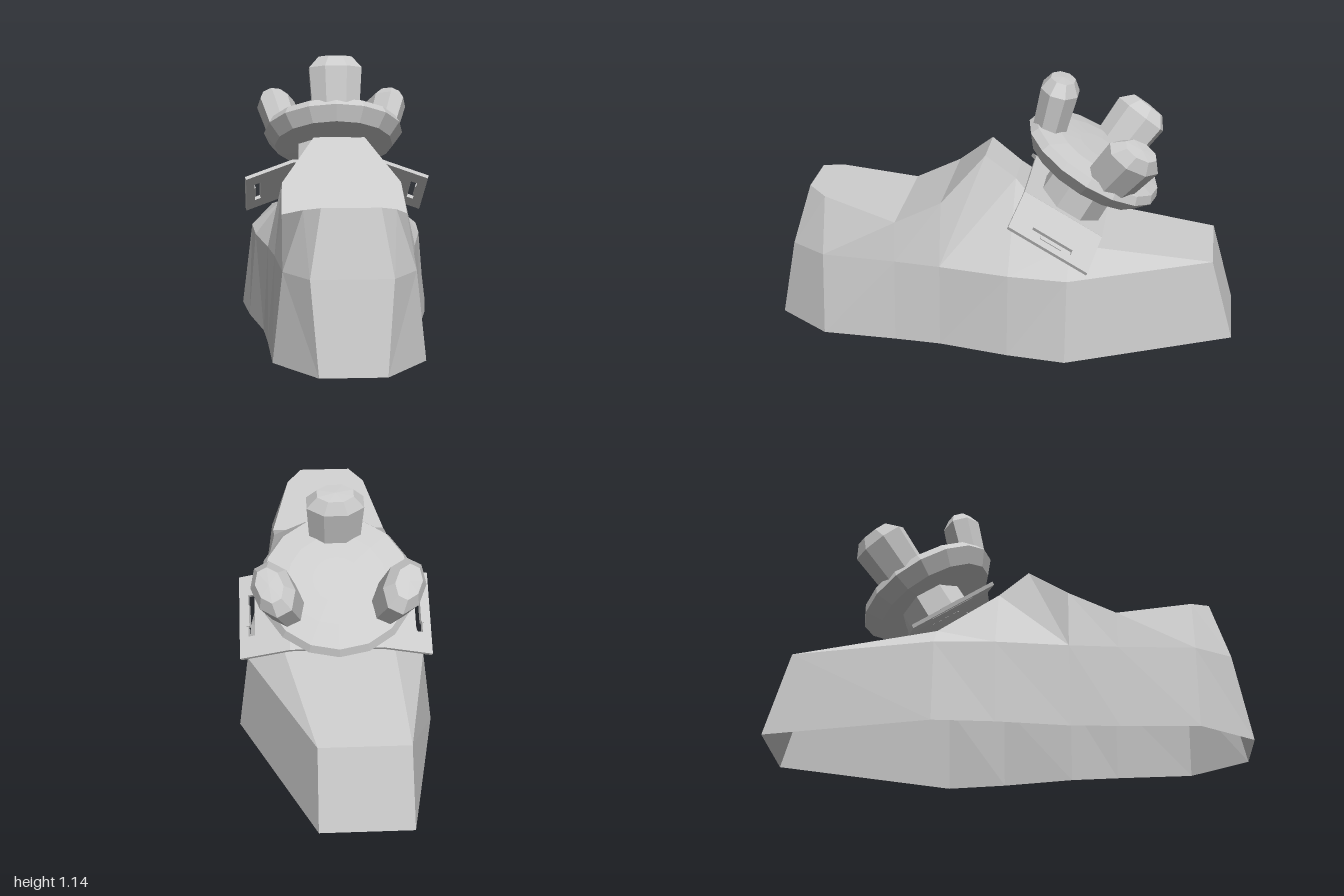
import * as THREE from 'three';

const mat = new THREE.MeshStandardMaterial({ color: 0xcccccc, flatShading: true, side: THREE.DoubleSide });

function part(name, geometry, parent) {
  const mesh = new THREE.Mesh(geometry, mat);
  mesh.name = name;
  parent.add(mesh);
  return mesh;
}

// One cross-section: +x bottom, middle, top, then the same down the -x side
function ring(bz, bx, mz, mx, tz, tx, ty, bxr = -bx, mxr = -mx, txr = -tx) {
  return [[bx, 0, bz], [mx, 0.36, mz], [tx, ty, tz], [txr, ty, tz], [mxr, 0.36, mz], [bxr, 0, bz]];
}

// Hollow hull, open underneath, lofted from front to back
function hullGeometry() {
  const rings = [
    ring(1, 0.13, 0.925, 0.16, 0.85, 0.115, 0.62),
    ring(0.77, 0.3, 0.77, 0.26, 0.77, 0.18, 0.6),
    ring(0.45, 0.315, 0.45, 0.285, 0.45, 0.255, 0.53),
    ring(0.25, 0.33, 0.25, 0.31, 0.25, 0.25, 0.63),
    ring(0.25, 0.33, 0.25, 0.31, 0.08, 0.11, 0.8),
    ring(-0.05, 0.39, -0.05, 0.36, -0.05, 0.1, 0.7),
    ring(-0.3, 0.42, -0.3, 0.375, -0.3, 0.24, 0.47),
    ring(-1, 0.1, -0.9, 0.1, -0.9, 0.1, 0.36, -0.29, -0.275, -0.275),
  ];
  const pos = [];
  const quad = (a, b, c, d) => pos.push(...a, ...b, ...c, ...a, ...c, ...d);
  for (let i = 0; i < rings.length - 1; i++) {
    const r = rings[i], s = rings[i + 1];
    // The diagonals mirror from one side to the other
    for (let j = 0; j < 3; j++) quad(r[j], s[j], s[j + 1], r[j + 1]);
    for (let j = 3; j < 5; j++) quad(s[j], s[j + 1], r[j + 1], r[j]);
  }
  const f = rings[0], b = rings[rings.length - 1];
  quad(f[0], f[1], f[4], f[5]);
  quad(f[1], f[2], f[3], f[4]);
  quad(b[5], b[4], b[1], b[0]);
  const g = new THREE.BufferGeometry();
  g.setAttribute('position', new THREE.Float32BufferAttribute(pos, 3));
  g.computeVertexNormals();
  return g;
}

const lathe = (points, sides) =>
  new THREE.LatheGeometry(points.map(([r, h]) => new THREE.Vector2(r, h)), sides);

const rectangle = (x0, x1, y) => [[x0, -y], [x1, -y], [x1, y], [x0, y]].map(p => new THREE.Vector2(...p));

// Drooping side of the saddle plate with its slot
function wingGeometry() {
  const s = new THREE.Shape(rectangle(0, 0.225, 0.19));
  s.holes.push(new THREE.Path(rectangle(0.155, 0.185, 0.095)));
  return new THREE.ExtrudeGeometry(s, { depth: 0.015, bevelEnabled: false }).rotateX(-Math.PI / 2);
}

export function createModel() {
  const model = new THREE.Group();
  part('hull', hullGeometry(), model);

  // Everything on the tilted mount shares one frame
  const mount = new THREE.Group();
  mount.name = 'tiltedMount';
  mount.position.set(0, 0.605, -0.275);
  mount.rotation.x = -Math.PI / 6;
  model.add(mount);

  // Saddle plate: flat middle and two slotted wings
  part('saddlePlate', new THREE.BoxGeometry(0.39, 0.015, 0.38), mount).position.y = -0.027;
  for (const side of [0, 1]) {
    const half = new THREE.Group();
    half.name = side ? 'rightWing' : 'leftWing';
    half.rotation.y = side * Math.PI;
    mount.add(half);
    const wing = part('slottedWing', wingGeometry(), half);
    wing.position.set(0.19, -0.034, 0);
    wing.rotation.z = -0.37;
    part('slotTab', new THREE.BoxGeometry(0.014, 0.018, 0.1), wing).position.set(0.186, 0.01, 0);
  }

  // Stem and gently domed wheel
  const stem = part('stem', new THREE.CylinderGeometry(0.145, 0.15, 0.17, 8).rotateY(Math.PI / 8), mount);
  stem.position.set(0, 0.05, -0.02);
  stem.scale.x = 1.2;
  part('wheel', lathe([[0, 0.12], [0.14, 0.12], [0.27, 0.128], [0.318, 0.19], [0.3, 0.225], [0.2, 0.245], [0.1, 0.25], [0, 0.25]], 16), mount);

  // Three stout knobs leaning outwards from the rim
  for (const angle of [0, 1.95, -1.95]) {
    const arm = new THREE.Group();
    arm.name = 'knobArm';
    arm.rotation.y = angle;
    mount.add(arm);
    const knob = part('knob', lathe([[0, 0], [0.112, 0], [0.126, 0.2], [0.08, 0.25], [0, 0.255]], 8), arm);
    knob.geometry.rotateY(Math.PI / 8);
    knob.position.set(0, 0.19, 0.222);
    knob.rotation.x = 0.29;
    knob.scale.z = 0.68;
  }
  return model;
}
